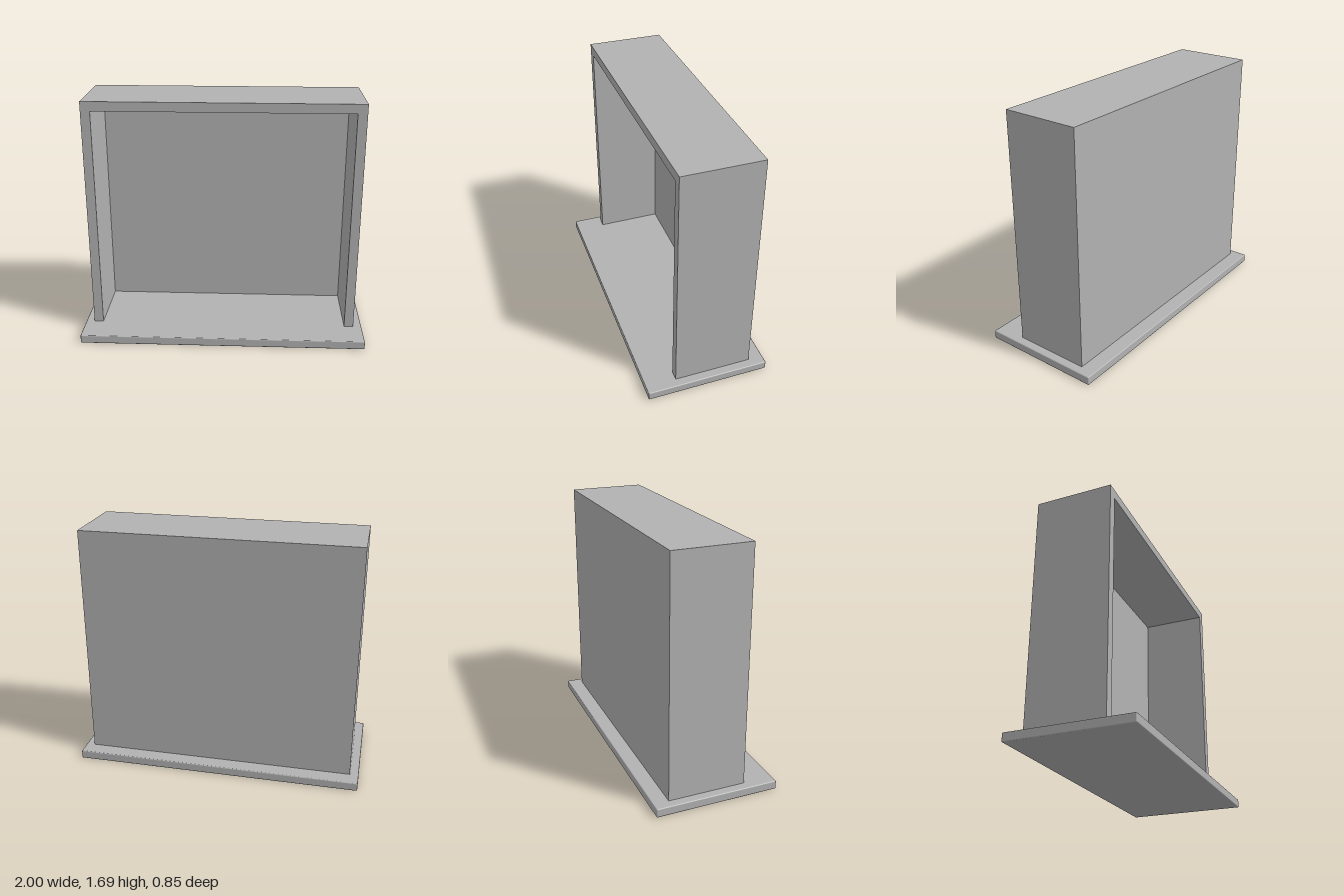
import * as THREE from 'three';
import { RoundedBoxGeometry } from 'three/addons/geometries/RoundedBoxGeometry.js';

export function createModel() {
  const model = new THREE.Group();
  model.name = 'openCabinet';
  const grey = new THREE.MeshStandardMaterial({ color: 0xb2b2b2 });
  grey.name = 'grey';

  const add = (name, geometry, x, y, z) => {
    const mesh = new THREE.Mesh(geometry, grey);
    mesh.name = name;
    mesh.position.set(x, y, z);
    model.add(mesh);
  };

  const baseTop = 0.06, top = 1.69, wall = 0.065, halfWidth = 0.94;
  const front = 0.215, back = -0.32, backThickness = 0.06;

  // Base plate with slightly softened edges
  add('base', new RoundedBoxGeometry(2, baseTop, 0.85, 2, 0.007), 0, baseTop / 2, 0);

  // Sides and top as one arch, open at the bottom
  const inner = halfWidth - wall;
  const arch = new THREE.Shape([
    [-halfWidth, baseTop], [-inner, baseTop], [-inner, top - wall], [inner, top - wall],
    [inner, baseTop], [halfWidth, baseTop], [halfWidth, top], [-halfWidth, top],
  ].map(([x, y]) => new THREE.Vector2(x, y)));
  add('frame', new THREE.ExtrudeGeometry(arch, { depth: front - back, bevelEnabled: false }), 0, 0, back);

  // Back panel set between the sides, flush with the rear
  const panelHeight = top - wall - baseTop;
  add('backPanel', new THREE.BoxGeometry(inner * 2, panelHeight, backThickness),
    0, baseTop + panelHeight / 2, back + backThickness / 2);

  return model;
}
